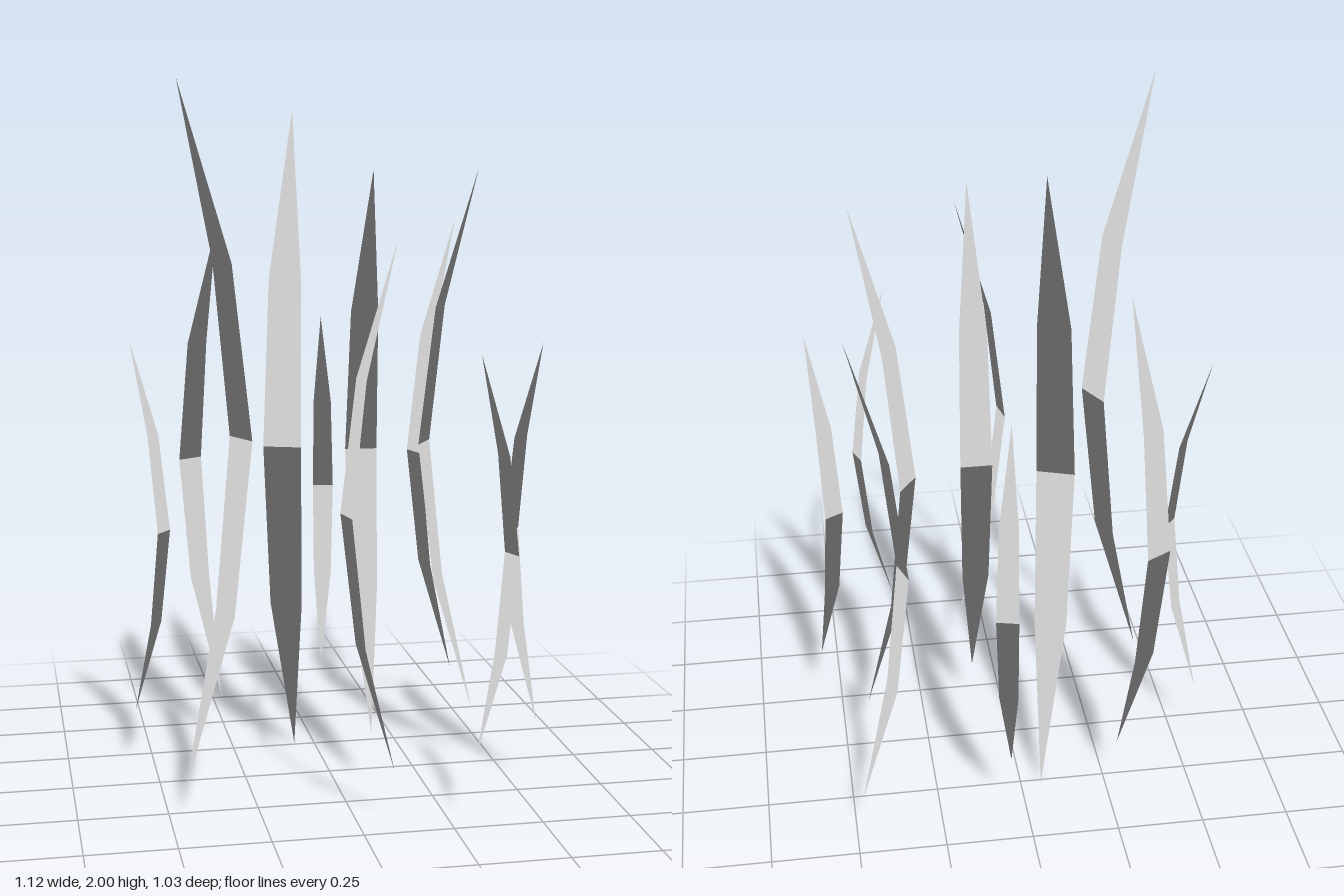
import * as THREE from 'three';

// One blade per row: tip x, tip z, belly x, belly z, base y, height
const BLADES = [
  [0.05, -0.405, 0.075, -0.506, 0.21, 1.09],
  [0.48, -0.449, 0.346, -0.405, 0.155, 1.435],
  [-0.28, -0.297, -0.351, -0.417, 0.155, 1.435],
  [-0.06, -0.262, -0.122, -0.086, 0.0, 1.92],
  [0.43, 0.002, 0.298, -0.086, 0.16, 1.6],
  [-0.558, -0.101, -0.475, -0.033, 0.19, 1.09],
  [0.094, 0.147, 0.094, -0.012, 0.16, 1.6],
  [0.557, 0.232, 0.5, 0.14, 0.195, 1.09],
  [-0.457, 0.302, -0.286, 0.22, 0.085, 1.915],
  [0.095, 0.449, -0.043, 0.475, 0.155, 1.435],
  [0.306, 0.509, 0.409, 0.47, 0.205, 1.09],
];
const WIDTHS = [0, 0.85, 1, 0.85, 0]; // share of full width at each row
const ROWS = WIDTHS.length - 1;
const HALF_THICKNESS = 0.0005;

// Bowed sliver in its own frame: height along y, bow along +z, pointed at both ends.
// It has a front and a back skin, and every normal points up so the tuft is lit evenly.
function bladeGeometry(height) {
  const positions = [], normals = [], index = [];
  for (const side of [1, -1]) {
    const start = positions.length / 3;
    WIDTHS.forEach((width, i) => {
      const half = side * 0.5 * 0.0575 * height * width; // mirrored on the back, which turns its faces round
      const y = height * i / ROWS;
      const z = 0.0995 * height * Math.sin(Math.PI * i / ROWS) + side * HALF_THICKNESS;
      positions.push(-half, y, z, half, y, z);
      normals.push(0, 1, 0, 0, 1, 0);
    });
    for (let i = 0; i < ROWS; i++) {
      const a = start + 2 * i, b = a + 1, c = a + 2, d = a + 3;
      if (i > 0) index.push(a, b, d);        // collapsed at the base
      if (i < ROWS - 1) index.push(a, d, c); // collapsed at the tip
    }
  }
  const geometry = new THREE.BufferGeometry();
  geometry.setAttribute('position', new THREE.Float32BufferAttribute(positions, 3));
  geometry.setAttribute('normal', new THREE.Float32BufferAttribute(normals, 3));
  geometry.setIndex(index);
  return geometry;
}

export function createModel() {
  const group = new THREE.Group();
  group.name = 'grassTuft';
  const material = new THREE.MeshStandardMaterial({ color: 0xcccccc });

  BLADES.forEach(([tipX, tipZ, bellyX, bellyZ, baseY, height], i) => {
    const blade = new THREE.Mesh(bladeGeometry(height), material);
    blade.name = `grassBlade${i + 1}`;
    blade.position.set(tipX, baseY, tipZ);
    blade.rotation.y = Math.atan2(bellyX - tipX, bellyZ - tipZ); // turn the bow towards the belly
    group.add(blade);
  });
  return group;
}
